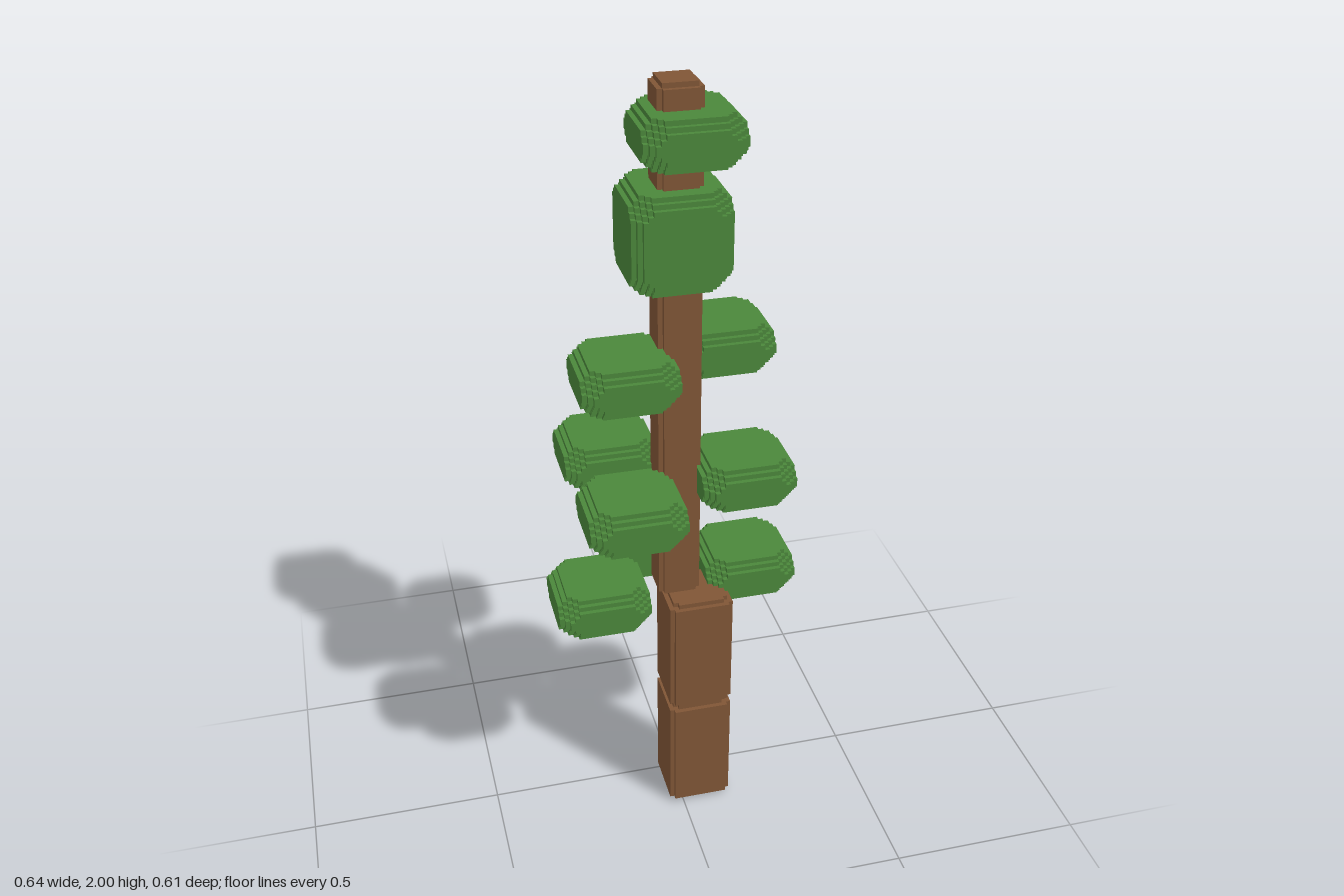
import * as THREE from 'three';
import { mergeGeometries } from 'three/addons/utils/BufferGeometryUtils.js';

// One voxel; all part sizes below are whole voxels
const V = 1 / 84;

// Rectangle w x d whose corners are cut into c one-voxel stairs
function stairShape(w, d, c) {
  const stair = [];
  for (let k = 0; k < c; k++) stair.push([k, c - k], [k + 1, c - k]);
  stair.push([c, 0]);
  const pts = [];
  for (const [sx, sy] of [[-1, -1], [1, -1], [1, 1], [-1, 1]]) {
    const run = sx * sy > 0 ? stair : [...stair].reverse();
    for (const [a, b] of run) pts.push(new THREE.Vector2(sx * (w / 2 - a), sy * (d / 2 - b)));
  }
  return new THREE.Shape(pts);
}

// Stack of stair-cornered layers: [height, inset, corner stairs], bottom to top
function layered(size, layers) {
  let y = 0;
  const parts = layers.map(([h, inset, c]) => {
    const g = new THREE.ExtrudeGeometry(stairShape(size - 2 * inset, size - 2 * inset, c),
      { depth: h, bevelEnabled: false });
    g.rotateX(-Math.PI / 2);
    g.translate(0, y, 0);
    y += h;
    return g;
  });
  const merged = mergeGeometries(parts);
  merged.scale(V, V, V);
  return merged;
}

// Rounded voxel block for the foliage
function leafBlock(height) {
  const ends = [[1, 2, 2], [1, 1, 3], [1, 0, 4], [1, 0, 3]];
  return layered(20, [...ends, [height - 8, 0, 2], ...[...ends].reverse()]);
}

export function createModel() {
  const group = new THREE.Group();
  const leaf = new THREE.MeshStandardMaterial({ color: 0x4b873b });
  leaf.name = 'leaf green';
  const bark = new THREE.MeshStandardMaterial({ color: 0x805636 });
  bark.name = 'bark brown';

  // x and z are the part's centre, y its underside
  const add = (name, geometry, material, x, y, z) => {
    const mesh = new THREE.Mesh(geometry, material);
    mesh.name = name;
    mesh.position.set(x * V, y * V, z * V);
    group.add(mesh);
  };

  // Thick lower trunk: two blocks with a groove between them
  const lower = layered(14, [[1, 1, 1], [26, 0, 1], [1, 1, 1]]);
  for (const y of [0, 28]) add('lowerTrunk', lower, bark, 4, y, 5.5);

  // Thin upper trunk with a narrowed tip
  add('upperTrunk', layered(9, [[111, 0, 1], [1, 1, 0]]), bark, 0.5, 56, 2);

  // Flat leaf pads in three tiers, and one near the tip
  const pad = leafBlock(10);
  const pads = [
    ['lowerLeafPad', 51, [[-2, -15.5], [17, -2.5], [-17, 3.5]]],
    ['middleLeafPad', 79, [[-12, -10.5], [-12, 15.5], [14, 4.5]]],
    ['upperLeafPad', 105, [[-11, 5.5], [12, -6.5]]],
    ['topLeafPad', 153, [[2, 3.5]]],
  ];
  for (const [name, y, spots] of pads) {
    for (const [x, z] of spots) add(name, pad, leaf, x, y, z);
  }

  // Tall leaf block wrapped round the trunk
  add('leafBlock', leafBlock(20), leaf, 0, 128, 1.5);

  return group;
}
